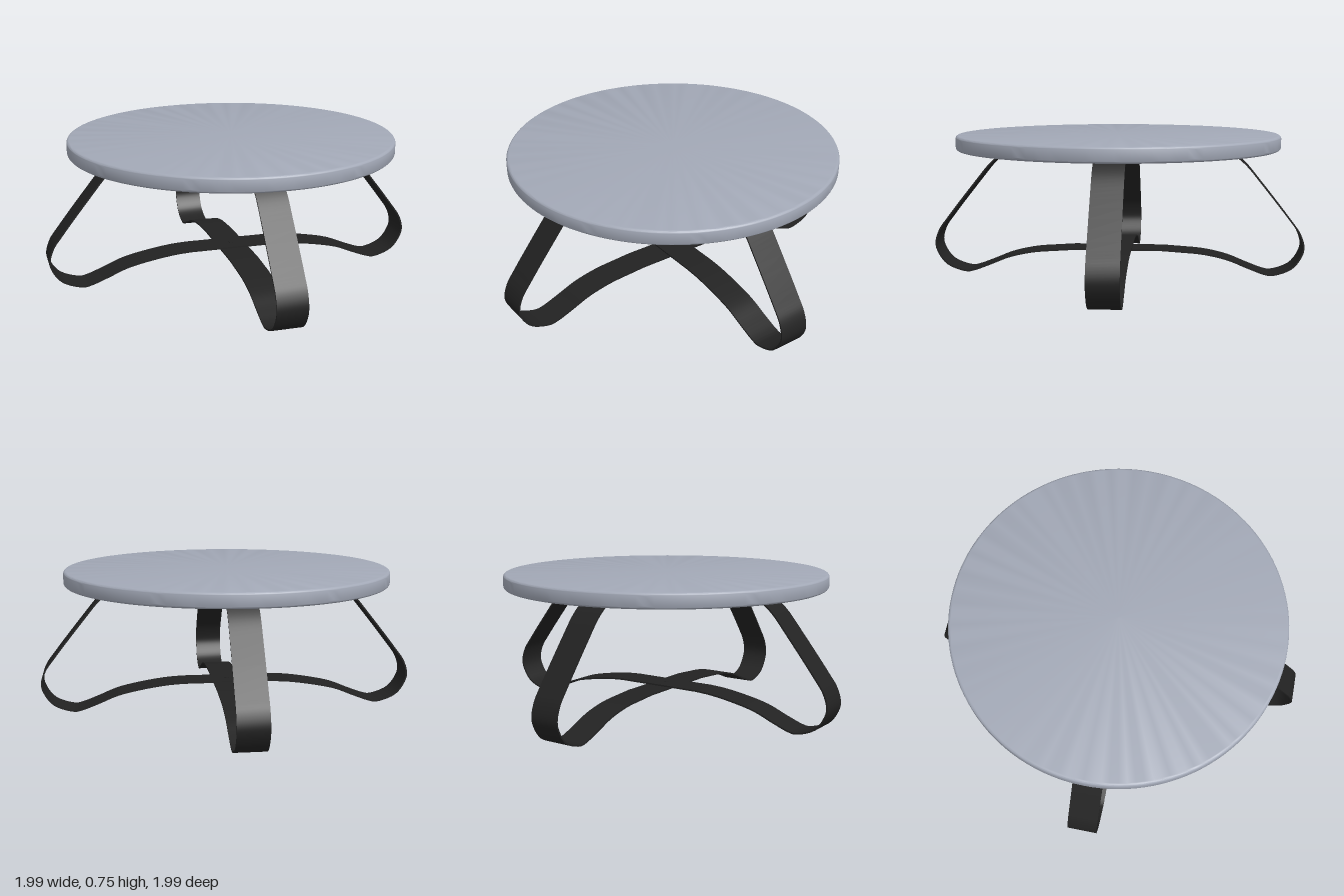
import * as THREE from 'three';
import { toCreasedNormals } from 'three/addons/utils/BufferGeometryUtils.js';

const TOP_RADIUS = 0.862, TOP_Y0 = 0.683, TOP_Y1 = 0.76;
const WIDTH = 0.155, THICK = 0.008;

// Half profile of a bent strap, from the crossing in the middle to the end under the top
function halfProfile(midY) {
  const curve = new THREE.CatmullRomCurve3([
    [0.24, midY], [0.33, midY - 0.006], [0.46, 0.122], [0.59, 0.093], [0.7, 0.049], [0.785, 0.018],
    [0.825, 0.012], [0.93, 0.05], [0.98, 0.117], [0.991, 0.165], [0.97, 0.236], [0.925, 0.3],
    [0.76, 0.51], [0.685, 0.6], [0.63, 0.647], [0.582, 0.679],
  ].map(([x, y]) => new THREE.Vector3(x, y, 0)), false, 'centripetal');
  return [...curve.getPoints(75).map(p => new THREE.Vector2(p.x, p.y)), new THREE.Vector2(0.292, 0.679)];
}

// Flat bar following the whole profile, given thickness by offsetting along normals
function strapGeometry(midY) {
  const half = halfProfile(midY);
  const line = [...half.map(p => new THREE.Vector2(-p.x, p.y)).reverse(), ...half];
  const side = s => line.map((p, i) => {
    const a = line[Math.max(i - 1, 0)], b = line[Math.min(i + 1, line.length - 1)];
    const t = b.clone().sub(a).normalize();
    return new THREE.Vector2(p.x - t.y * s, p.y + t.x * s);
  });
  const shape = new THREE.Shape([...side(-THICK / 2), ...side(THICK / 2).reverse()]);
  const geo = new THREE.ExtrudeGeometry(shape, { depth: WIDTH, bevelEnabled: false });
  geo.translate(0, 0, -WIDTH / 2);
  return toCreasedNormals(geo, 0.6);
}

export function createModel() {
  const model = new THREE.Group();
  model.name = 'roundTable';
  const topMat = new THREE.MeshStandardMaterial({ color: 0xa2a8b6 });
  topMat.name = 'grey top';
  const metal = new THREE.MeshStandardMaterial({ color: 0x222222 });
  metal.name = 'black metal';

  const add = (parent, name, geo, mat, x = 0, y = 0, z = 0) => {
    const mesh = new THREE.Mesh(geo, mat);
    mesh.name = name;
    mesh.position.set(x, y, z);
    parent.add(mesh);
    return mesh;
  };

  // Round top with softened edges
  const r = 0.016, profile = [new THREE.Vector2(0, TOP_Y0)];
  const corner = (cy, start) => {
    for (let i = 0; i <= 6; i++) {
      const a = start + (i / 6) * Math.PI / 2;
      profile.push(new THREE.Vector2(TOP_RADIUS - r + r * Math.cos(a), cy + r * Math.sin(a)));
    }
  };
  corner(TOP_Y0 + r, -Math.PI / 2);
  corner(TOP_Y1 - r, 0);
  profile.push(new THREE.Vector2(0, TOP_Y1));
  add(model, 'tableTop', toCreasedNormals(new THREE.LatheGeometry(profile, 128), 0.5), topMat);

  // Two crossing straps, each forming a pair of legs
  const bolt = new THREE.SphereGeometry(0.013, 16, 8);
  bolt.scale(1, 0.9, 1);
  [0.147, 0.139].forEach((midY, i) => {
    const legs = new THREE.Group();
    legs.name = i ? 'frontBackLegs' : 'leftRightLegs';
    legs.rotation.y = i * Math.PI / 2;
    add(legs, 'strap', strapGeometry(midY), metal);
    // Bolts holding the strap ends to the top
    for (const s of [-1, 1]) for (const x of [0.38, 0.46]) add(legs, 'bolt', bolt, metal, s * x, 0.676, 0);
    model.add(legs);
  });

  // Rivet joining the straps at the crossing
  add(model, 'centreRivet', new THREE.CylinderGeometry(0.012, 0.012, 0.02, 16), metal, 0, 0.143, 0);
  return model;
}
